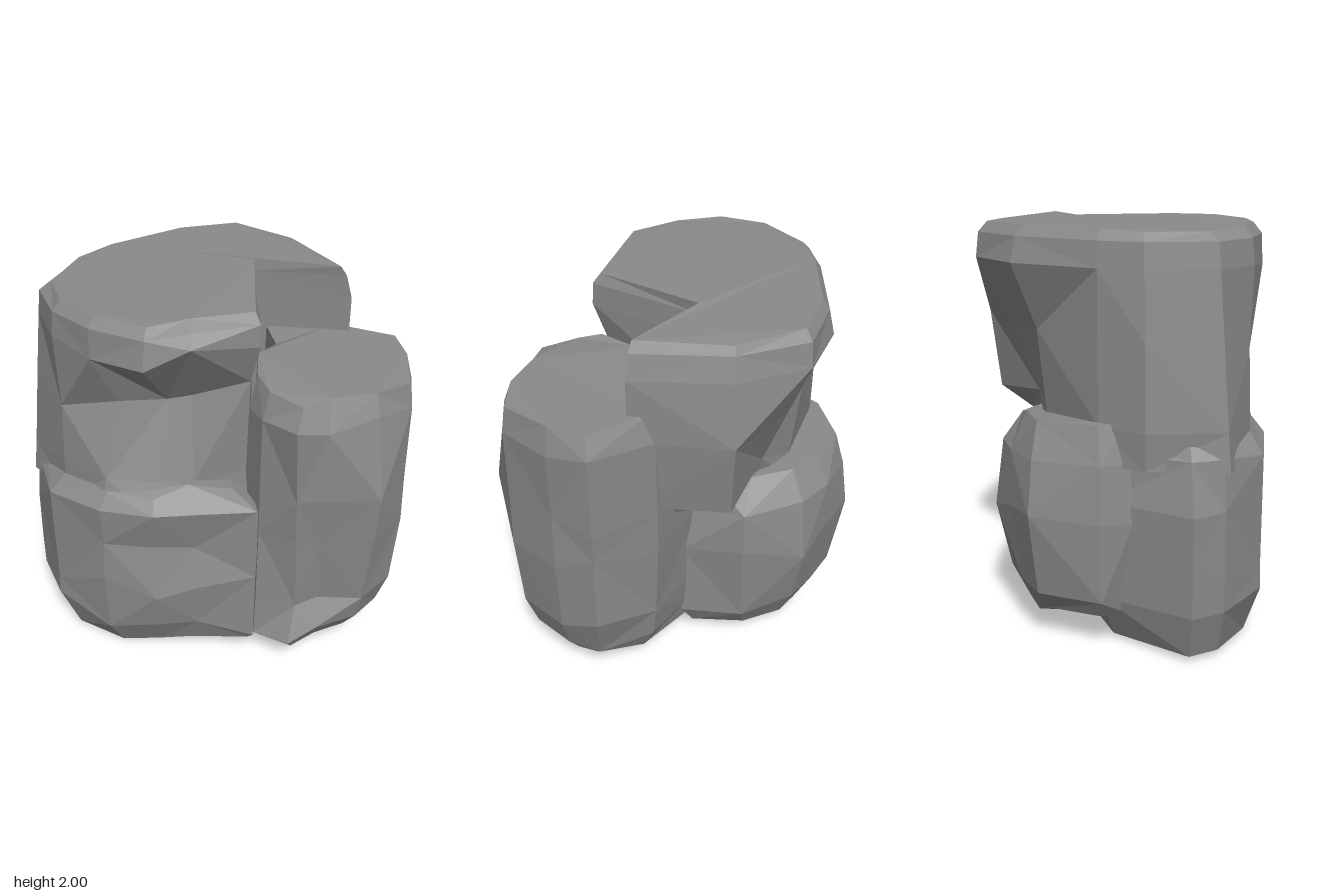
import * as THREE from 'three';

const material = new THREE.MeshStandardMaterial({ color: 0x8a8a8a, flatShading: true });

// Lofts an outline of [x, z] corners through levels.
// Level: y, s = scale about the centre, k = { corner: [scale, lift] } for chipped corners.
function rock(name, [cx, cz], outline, levels) {
  const n = outline.length;
  const rings = levels.map(({ y, s = 1, k = {} }) => outline.map(([x, z], i) => {
    const [f, lift] = k[i] || [s, 0];
    return [cx + (x - cx) * f, y + lift, cz + (z - cz) * f];
  }));
  const index = [];
  for (let r = 0; r < rings.length - 1; r++) {
    for (let i = 0; i < n; i++) {
      const j = (i + 1) % n;
      const a = r * n + i, b = r * n + j, c = a + n, d = b + n;
      if ((r + i) % 2) index.push(a, c, b, b, c, d);
      else index.push(a, c, d, a, d, b);
    }
  }
  // Flat caps
  const cap = (r, flip) => {
    const shape = rings[r].map(([x, , z]) => new THREE.Vector2(x, z));
    for (const [a, b, c] of THREE.ShapeUtils.triangulateShape(shape, [])) {
      const o = r * n;
      index.push(o + a, o + (flip ? c : b), o + (flip ? b : c));
    }
  };
  cap(0, false);
  cap(rings.length - 1, true);
  const geometry = new THREE.BufferGeometry();
  geometry.setAttribute('position', new THREE.Float32BufferAttribute(rings.flat(2), 3));
  geometry.setIndex(index);
  const flat = geometry.toNonIndexed();
  flat.computeVertexNormals();
  const mesh = new THREE.Mesh(flat, material);
  mesh.name = name;
  return mesh;
}

export function createModel() {
  const group = new THREE.Group();
  group.name = 'rockCluster';

  // Tall upper mass: notched at the back right, undercut below a brow at the front right
  // and hollowed out at the back left
  group.add(rock('upperRock', [-0.15, 0.05], [
    [0.41, 0.05], [0.31, 0.36], [0.25, 0.57], [0.0, 0.71], [-0.25, 0.76], [-0.5, 0.7], [-0.68, 0.42],
    [-0.71, 0.2], [-0.69, -0.25], [-0.57, -0.55], [-0.23, -0.72], [0.25, -0.64], [-0.08, -0.28],
  ], [
    { y: 0.92, k: { 0: [0.85, 0], 1: [0.9, 0], 2: [0.9, 0], 5: [1.14, 0], 6: [1.06, 0], 8: [0.75, 0], 9: [0.55, 0.1], 10: [0.7, 0.08], 11: [0.85, 0.06] } },
    { y: 1.1, k: { 0: [0.84, 0], 1: [0.82, -0.03], 2: [0.78, 0], 3: [0.92, 0], 5: [1.11, 0], 6: [1.08, 0], 8: [0.75, 0], 9: [0.6, 0.05], 10: [0.93, 0], 11: [0.95, 0] } },
    { y: 1.5, k: { 0: [0.88, 0.12], 1: [0.62, 0.01], 2: [0.58, 0], 3: [0.76, 0], 4: [0.98, -0.06], 5: [1.05, 0], 6: [1.04, 0], 8: [0.82, 0], 9: [0.8, 0] } },
    { y: 1.82, k: { 0: [1.01, 0.01], 1: [1.06, 0.06], 2: [1.02, -0.02], 3: [0.99, -0.03], 8: [1.03, 0], 10: [0.95, 0] } },
    { y: 1.94, s: 0.98, k: { 0: [1, 0], 10: [0.91, 0], 11: [0.96, 0] } },
    { y: 1.99, s: 0.92, k: { 0: [0.93, 0.0], 1: [0.92, 0.01], 5: [0.9, -0.01], 6: [0.92, -0.01], 10: [0.88, -0.01], 12: [1, 0.01] } },
  ]));

  // Broad front block with a shelf at half height and a chipped right face
  group.add(rock('lowerRock', [-0.12, 0.27], [
    [0.53, 0.13], [0.37, 0.37], [0.25, 0.56], [0.03, 0.74], [-0.28, 0.85], [-0.58, 0.79], [-0.72, 0.69],
    [-0.7, 0.2], [-0.58, -0.15], [-0.1, -0.22], [0.05, -0.12],
  ], [
    { y: 0.02, s: 0.82, k: {
      0: [0.92, 0.11], 1: [0.78, 0.06], 2: [0.68, 0.01], 3: [0.75, -0.02], 4: [0.84, 0], 5: [0.9, 0.01],
      6: [0.9, 0.01], 8: [0.7, 0.06], 9: [0.6, 0.06], 10: [0.6, 0.06] } },
    { y: 0.25, s: 0.99, k: { 0: [0.98, -0.08], 1: [0.92, 0], 2: [0.88, -0.03], 3: [0.95, -0.08], 4: [1, 0.02], 8: [0.95, 0] } },
    { y: 0.52, k: { 0: [0.99, 0.06], 1: [1, 0], 2: [0.98, -0.08], 3: [0.98, 0], 4: [0.99, -0.15], 5: [0.99, -0.08] } },
    { y: 0.74, k: { 1: [0.88, 0], 2: [0.86, 0], 3: [0.95, 0], 4: [0.99, 0], 5: [0.98, 0] } },
    { y: 0.98, s: 0.98, k: { 0: [1, 0.02], 1: [1, 0.01], 2: [0.99, 0], 3: [0.98, -0.02], 4: [0.99, -0.04], 5: [0.94, 0], 6: [0.9, 0] } },
    { y: 1.04, s: 0.85, k: { 0: [0.75, 0.02], 1: [0.75, 0.05], 5: [0.88, 0], 6: [0.84, 0] } },
  ]));

  // Shorter boulder at the back right, with a hollow above a ledge on its front corner
  group.add(rock('sideRock', [0.45, -0.35], [
    [0.87, -0.33], [0.77, -0.08], [0.71, 0.06], [0.5, 0.1], [0.37, 0.08], [0.21, -0.08], [0.15, -0.25],
    [-0.08, -0.35], [0.12, -0.66], [0.42, -0.84], [0.61, -0.75], [0.82, -0.55],
  ], [
    { y: 0.14, s: 0.6, k: { 1: [0.68, 0], 2: [0.85, 0], 3: [0.95, 0.02], 4: [0.95, 0.02], 5: [0.95, 0], 6: [1, 0], 7: [0.9, 0], 8: [0.75, 0], 9: [0.5, 0] } },
    { y: 0.27, s: 0.82, k: { 1: [0.92, 0], 2: [0.96, -0.07], 3: [1.04, -0.1], 4: [1, -0.08], 6: [1, 0], 7: [0.97, 0], 8: [0.9, 0] } },
    { y: 0.45, s: 0.96, k: { 0: [0.9, -0.03], 1: [0.74, -0.03], 2: [0.76, -0.06], 3: [1.02, -0.05], 6: [1, 0], 7: [1, 0], 9: [1.02, 0.1] } },
    { y: 0.85, s: 1, k: { 0: [1.02, 0], 1: [0.84, -0.05], 2: [0.84, 0], 9: [0.98, 0.1], 11: [1.02, 0] } },
    { y: 1.1, s: 1, k: { 0: [1.07, 0], 1: [0.93, 0], 2: [0.9, 0], 10: [0.97, 0.05] } },
    { y: 1.5, s: 0.99, k: { 0: [0.9, 0.03], 1: [0.94, -0.02], 2: [1, 0.02], 7: [1, 0], 9: [1.01, 0.04] } },
    { y: 1.64, s: 0.9, k: { 0: [0.8, 0], 1: [0.78, 0], 2: [0.85, -0.02], 4: [0.9, 0.03], 5: [0.97, 0.03], 6: [1, 0], 7: [0.99, 0], 11: [0.94, -0.01] } },
  ]));

  // Low boulder bulging from the back left
  group.add(rock('backRock', [-0.42, -0.05], [
    [0.02, -0.12], [-0.25, 0.3], [-0.7, 0.38], [-0.81, 0.27], [-0.89, -0.07], [-0.76, -0.26],
    [-0.62, -0.42], [-0.3, -0.54], [0.0, -0.42],
  ], [
    { y: 0.08, s: 0.65, k: { 2: [0.85, 0.1], 3: [0.85, 0.1], 4: [0.7, 0.08], 8: [0.85, 0.02] } },
    { y: 0.27, s: 0.88, k: { 3: [0.97, 0], 4: [0.88, 0], 7: [0.85, -0.04], 8: [1, -0.04] } },
    { y: 0.66, s: 1, k: { 4: [1.02, 0.02], 6: [1.05, -0.06], 7: [0.95, 0.05] } },
    { y: 0.94, s: 0.94, k: { 3: [0.95, 0], 5: [0.98, 0], 8: [0.85, 0] } },
    { y: 1.12, s: 0.76, k: { 0: [0.7, -0.08], 2: [0.86, 0], 3: [0.86, 0], 4: [0.83, 0], 6: [0.7, -0.04], 7: [0.6, -0.06] } },
  ]));

  return group;
}
